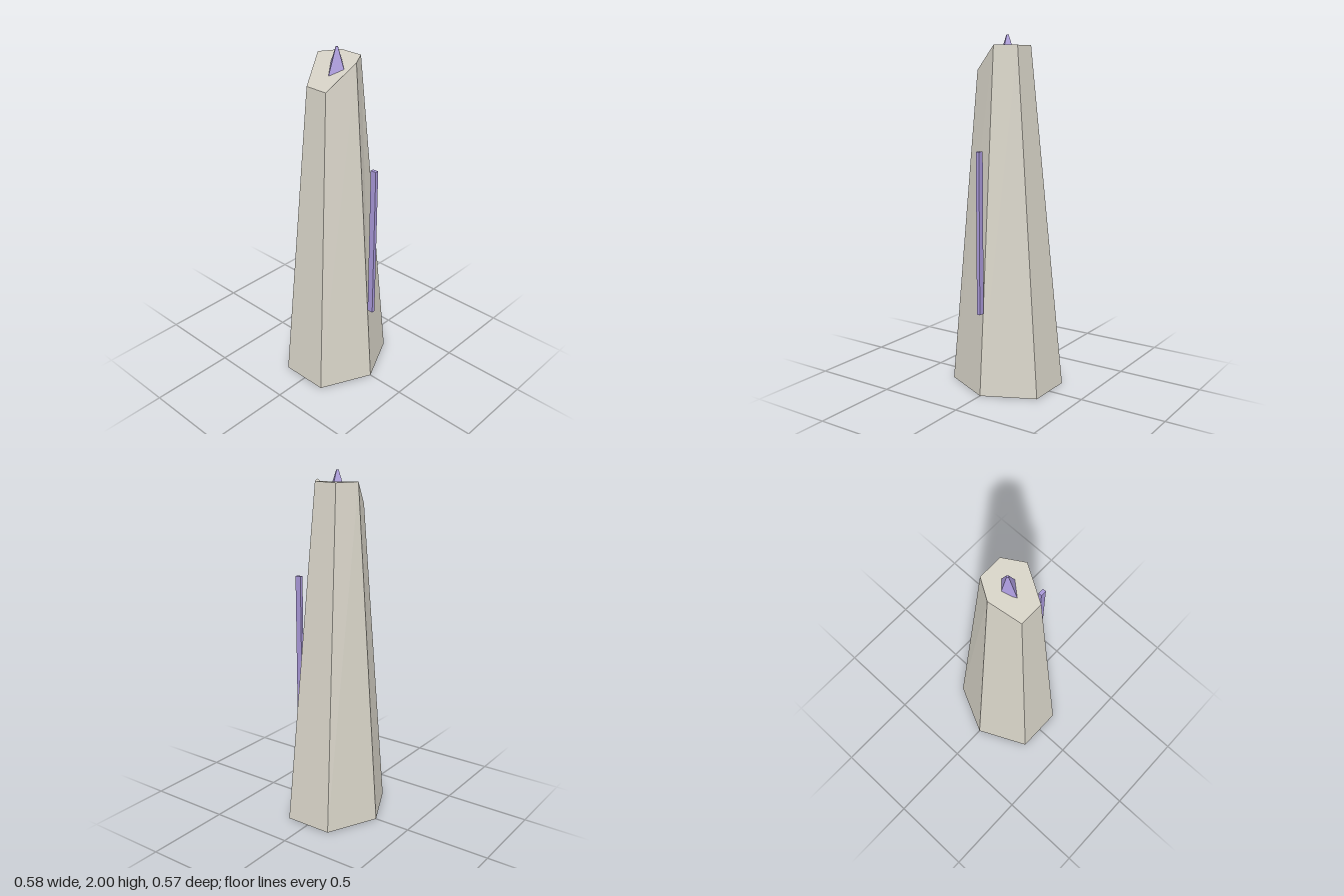
import * as THREE from 'three';

const stone = new THREE.MeshStandardMaterial({ color: 0xd8d4c8 });
const crystal = new THREE.MeshStandardMaterial({ color: 0xa898d8 });
const CENTRE_Z = -0.0045;

// Six corners, anticlockwise from above, starting at the front
function hexRing(leftX, rightX, halfZ, leftY, y) {
  return [
    [0, y, halfZ], [rightX, y, halfZ / 2], [rightX, y, -halfZ / 2],
    [0, y, -halfZ], [leftX, leftY, -halfZ / 2], [leftX, leftY, halfZ / 2],
  ].map(([x, py, z]) => new THREE.Vector3(x, py, z + CENTRE_Z));
}

// Tapered six-sided shaft with one chipped, lowered side at the top
function shaftGeometry() {
  const base = hexRing(-0.291, 0.291, 0.2795, 0, 0);
  const top = hexRing(-0.155, 0.11, 0.1355, 1.81, 1.945);
  const points = [];
  for (let i = 0; i < 6; i++) {
    const j = (i + 1) % 6;
    points.push(base[i], base[j], top[j], base[i], top[j], top[i]);
  }
  for (let i = 1; i < 5; i++) points.push(base[0], base[i + 1], base[i]);
  const capStart = points.length;
  for (const face of [[0, 1, 5], [1, 4, 5], [1, 3, 4], [1, 2, 3]]) {
    points.push(...face.map((i) => top[i]));
  }
  const geometry = new THREE.BufferGeometry().setFromPoints(points);
  geometry.computeVertexNormals();
  // The cap is shaded as one even surface
  const normals = geometry.attributes.normal;
  for (let i = capStart; i < points.length; i++) normals.setXYZ(i, 0, 1, 0);
  return geometry;
}

function addPart(group, name, geometry, material, x, y, z) {
  const mesh = new THREE.Mesh(geometry, material);
  mesh.name = name;
  mesh.position.set(x, y, z);
  group.add(mesh);
}

export function createModel() {
  const group = new THREE.Group();
  group.name = 'obelisk';

  addPart(group, 'shaft', shaftGeometry(), stone, 0, 0, 0);

  // Four-sided crystal set into the chipped top
  const spike = new THREE.CylinderGeometry(0.008, 0.066, 0.152, 4).toNonIndexed();
  spike.computeVertexNormals();
  addPart(group, 'crystalTip', spike, crystal, 0, 2 - 0.076, CENTRE_Z);

  // Upright strip standing just off the front edge
  addPart(group, 'frontStrip', new THREE.BoxGeometry(0.02, 0.905, 0.035), crystal, 0, 0.9325, 0.2665);

  return group;
}
